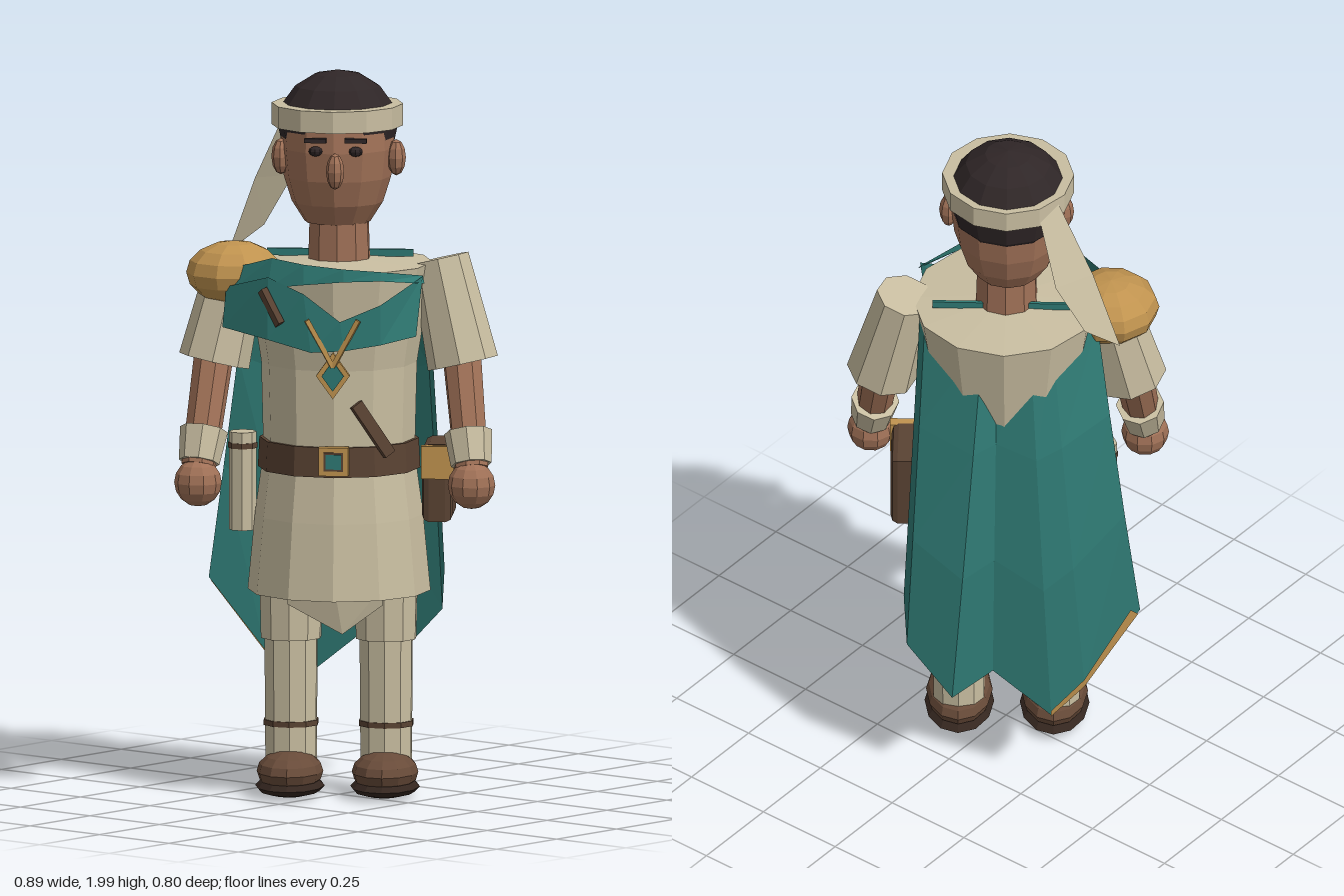
import * as THREE from 'three';

export function createModel() {
  const mat = (name, color, side = THREE.FrontSide) => {
    const m = new THREE.MeshStandardMaterial({ color, side, flatShading: true });
    m.name = name;
    return m;
  };
  const linen = mat('linen', 0xc9bea1, THREE.DoubleSide);
  const skin = mat('skin', 0xa07157);
  const hairDark = mat('hairDark', 0x2f2627);
  const teal = mat('tealCloth', 0x2f7a74, THREE.DoubleSide);
  const gold = mat('gold', 0xc0934f, THREE.DoubleSide);
  const leather = mat('leather', 0x5a4333);
  const shoeBrown = mat('shoeBrown', 0x684b39);
  const sole = mat('sole', 0x34261f);

  const model = new THREE.Group();
  model.name = 'traveller';
  const body = new THREE.Group();
  body.name = 'figure';
  body.position.set(-0.025, 0, -0.03);
  body.rotation.y = 0.645;
  model.add(body);

  // Helpers
  const add = (name, geo, m, p = [0, 0, 0]) => {
    const mesh = new THREE.Mesh(geo, m);
    mesh.name = name;
    mesh.position.set(...p);
    body.add(mesh);
    return mesh;
  };
  const ball = (name, m, p, s, w = 10, h = 8) => {
    const mesh = add(name, new THREE.SphereGeometry(1, w, h), m, p);
    mesh.scale.set(...s);
    return mesh;
  };
  const box = (name, m, p, s) => add(name, new THREE.BoxGeometry(...s), m, p);
  const lathe = (name, m, pts, n, p) =>
    add(name, new THREE.LatheGeometry(pts.map(q => new THREE.Vector2(...q)), n), m, p);
  const align = (mesh, a, b) => {
    const d = b.clone().sub(a);
    mesh.quaternion.setFromUnitVectors(new THREE.Vector3(0, 1, 0), d.normalize());
    mesh.position.copy(a).lerp(b, 0.5);
    return mesh;
  };
  // Tapered cylinder from a to b
  const limb = (name, m, a, b, ra, rb, n = 8) => {
    const A = new THREE.Vector3(...a), B = new THREE.Vector3(...b);
    return align(add(name, new THREE.CylinderGeometry(rb, ra, A.distanceTo(B), n), m), A, B);
  };
  const bar = (name, m, a, b, w, t) => {
    const A = new THREE.Vector3(...a), B = new THREE.Vector3(...b);
    return align(add(name, new THREE.BoxGeometry(w, A.distanceTo(B), t), m), A, B);
  };
  // Cloth sheet between rows of equal length
  const sheet = (name, m, rows) => {
    const n = rows[0].length, index = [];
    for (let r = 0; r < rows.length - 1; r++)
      for (let i = 0; i < n - 1; i++) {
        const a = r * n + i, c = a + n;
        index.push(a, c, a + 1, a + 1, c, c + 1);
      }
    const g = new THREE.BufferGeometry();
    g.setAttribute('position', new THREE.Float32BufferAttribute(rows.flat(2), 3));
    g.setIndex(index);
    g.computeVertexNormals();
    return add(name, g, m);
  };

  // Tunic with flared hem, flat shoulders and pointed front tail
  lathe('tunic', linen, [[0, 0.6], [0.25, 0.57], [0.23, 0.78], [0.207, 0.95], [0.213, 1.2],
    [0.257, 1.475], [0, 1.49]], 12);
  sheet('tunicTail', linen, [
    [[-0.13, 0.6, 0.17], [0, 0.6, 0.19], [0.13, 0.6, 0.17]],
    [[-0.13, 0.55, 0.16], [0.02, 0.47, 0.17], [0.13, 0.55, 0.16]]]);

  // Legs, straps and shoes
  for (const s of [-1, 1]) {
    const x = s * 0.13;
    limb('breeches', linen, [x, 0.44, 0.02], [x, 0.66, 0.02], 0.085, 0.09, 10);
    limb('lowerLeg', linen, [x, 0.05, 0.02], [x, 0.46, 0.02], 0.072, 0.075, 10);
    limb('legStrap', leather, [x, 0.2, 0.02], [x, 0.215, 0.02], 0.077, 0.077, 10);
    ball('shoe', shoeBrown, [x, 0.078, 0.065], [0.091, 0.058, 0.14], 12, 8);
    ball('shoeSole', sole, [x, 0.038, 0.065], [0.095, 0.028, 0.146], 12, 6);
  }

  // Arms
  for (const s of [-1, 1]) {
    const elbow = [s * 0.34, 1.2, 0.025];
    limb('sleeve', linen, elbow, [s * 0.275, 1.485, -0.005], 0.098, 0.08, 8);
    limb('forearm', skin, [s * 0.337, 1.24, 0.04], [s * 0.373, 0.93, 0.165], 0.055, 0.048, 8);
    limb('wristBand', linen, [s * 0.372, 0.94, 0.16], [s * 0.361, 1.025, 0.125], 0.056, 0.066, 8);
    ball('hand', skin, [s * 0.374, 0.887, 0.18], [0.065, 0.066, 0.065]);
  }
  ball('shoulderGuard', gold, [-0.285, 1.443, 0.018], [0.132, 0.088, 0.132], 10, 8);

  // Head and face
  limb('neck', skin, [0, 1.44, 0], [0, 1.64, 0], 0.088, 0.082, 10);
  lathe('head', skin, [[0, 1.57], [0.09, 1.585], [0.125, 1.64], [0.147, 1.71], [0.156, 1.79],
    [0.15, 1.865], [0, 1.89]], 12, [-0.005, 0, -0.005]);
  ball('hair', hairDark, [-0.005, 1.848, -0.018], [0.164, 0.152, 0.163], 12, 8);
  lathe('headband', linen, [[0.14, 1.85], [0.18, 1.85], [0.18, 1.91], [0.14, 1.91], [0.14, 1.85]], 12,
    [-0.005, 0, -0.005]);
  sheet('headbandTail', linen, [
    [[-0.09, 1.89, -0.15], [-0.145, 1.89, -0.11]],
    [[-0.14, 1.68, -0.215], [-0.24, 1.68, -0.15]],
    [[-0.22, 1.54, -0.225], [-0.315, 1.47, -0.195]]]);
  ball('nose', skin, [0, 1.745, 0.165], [0.025, 0.05, 0.032], 8, 6);
  for (const s of [-1, 1]) {
    ball('ear', skin, [s * 0.158, 1.765, 0.02], [0.026, 0.05, 0.034], 8, 6);
    ball('eye', hairDark, [s * 0.055, 1.797, 0.142], [0.019, 0.014, 0.016], 8, 6);
    box('eyebrow', hairDark, [s * 0.055, 1.828, 0.15], [0.06, 0.012, 0.02]);
  }

  // Pleated cape: each column runs [topX, topZ, hemX, hemY, hemZ]
  const cols = [[0.235, -0.06, 0.275, 0.6, -0.2], [0.22, -0.09, 0.265, 0.48, -0.26],
    [0.06, -0.18, 0.14, 0.34, -0.315], [0.02, -0.165, 0.03, 0.4, -0.268],
    [-0.07, -0.185, -0.13, 0.27, -0.295], [-0.13, -0.16, -0.22, 0.36, -0.27],
    [-0.25, -0.08, -0.37, 0.57, -0.205]];
  const capeRow = t => cols.map(([tx, tz, hx, hy, hz]) =>
    [tx + (hx - tx) * t, 1.46 + (hy - 1.46) * t, tz + (hz - tz) * (1 - (1 - t) ** 2)]);
  sheet('cape', teal, [0, 0.3, 0.65, 1].map(capeRow));
  sheet('capeTrim', gold, [
    [[-0.13, 0.29, -0.302], [-0.22, 0.38, -0.277], [-0.345, 0.58, -0.222]],
    [[-0.13, 0.27, -0.3], [-0.22, 0.355, -0.275], [-0.365, 0.56, -0.212]]]);
  box('capeCollar', teal, [0, 1.492, -0.05], [0.4, 0.02, 0.009]);

  // Scarf over the chest: upper band, then lower band hanging in a V
  sheet('scarfUpper', teal, [
    [[-0.28, 1.47, 0.11], [-0.17, 1.51, 0.2], [-0.08, 1.5, 0.25], [0.03, 1.49, 0.265], [0.13, 1.48, 0.24], [0.24, 1.46, 0.16]],
    [[-0.3, 1.4, 0.13], [-0.18, 1.43, 0.22], [-0.08, 1.445, 0.26], [0.03, 1.455, 0.268], [0.13, 1.455, 0.245], [0.245, 1.44, 0.175]]]);
  sheet('scarfLower', teal, [
    [[-0.3, 1.42, 0.13], [-0.18, 1.46, 0.22], [-0.08, 1.42, 0.26], [0.02, 1.345, 0.268], [0.13, 1.39, 0.25], [0.24, 1.46, 0.175]],
    [[-0.31, 1.31, 0.14], [-0.18, 1.29, 0.235], [-0.06, 1.26, 0.268], [0.03, 1.265, 0.268], [0.13, 1.28, 0.252], [0.225, 1.3, 0.215]]]);

  // Pendant on a cord
  for (const s of [-1, 1])
    bar('cord', gold, [s * 0.07, 1.35, 0.272], [0, 1.22, 0.262], 0.013, 0.012);
  const diamond = (name, m, r, z, t) => {
    const d = add(name, new THREE.CylinderGeometry(r, r, t, 4), m, [0, 1.195, z]);
    d.rotation.x = Math.PI / 2;
    d.scale.set(0.72, 1, 1);
  };
  diamond('pendantFrame', gold, 0.064, 0.25, 0.02);
  diamond('pendantGem', teal, 0.042, 0.262, 0.008);

  // Belt, buckle and the visible ends of the diagonal strap
  lathe('belt', leather, [[0.2, 0.908], [0.222, 0.908], [0.218, 0.99], [0.2, 0.99]], 12);
  box('buckle', gold, [0, 0.955, 0.225], [0.082, 0.078, 0.03]);
  box('buckleRecess', leather, [0, 0.955, 0.239], [0.054, 0.052, 0.006]);
  box('buckleGem', teal, [0, 0.955, 0.243], [0.042, 0.04, 0.006]);
  bar('strapLower', leather, [0.06, 1.11, 0.207], [0.15, 0.97, 0.183], 0.034, 0.018);
  bar('strapUpper', leather, [-0.195, 1.425, 0.22], [-0.145, 1.335, 0.25], 0.03, 0.018);

  // Pouch with bevelled edges and clasp
  const sh = new THREE.Shape();
  sh.moveTo(-0.065, -0.087);
  sh.lineTo(0.065, -0.087);
  sh.lineTo(0.065, 0.087);
  sh.lineTo(-0.065, 0.087);
  const pouch = add('pouch', new THREE.ExtrudeGeometry(sh,
    { depth: 0.045, bevelSize: 0.02, bevelThickness: 0.02, bevelSegments: 2 }), leather, [0.25, 0.875, -0.01]);
  pouch.rotation.y = Math.PI / 2;
  box('pouchClasp', gold, [0.275, 0.935, 0.085], [0.09, 0.09, 0.03]);

  // Scroll case on the right hip
  limb('scrollCase', linen, [-0.265, 0.73, -0.02], [-0.265, 1.0, -0.02], 0.038, 0.038, 8);
  limb('scrollBand', leather, [-0.265, 0.955, -0.02], [-0.265, 0.97, -0.02], 0.04, 0.04, 8);

  return model;
}
